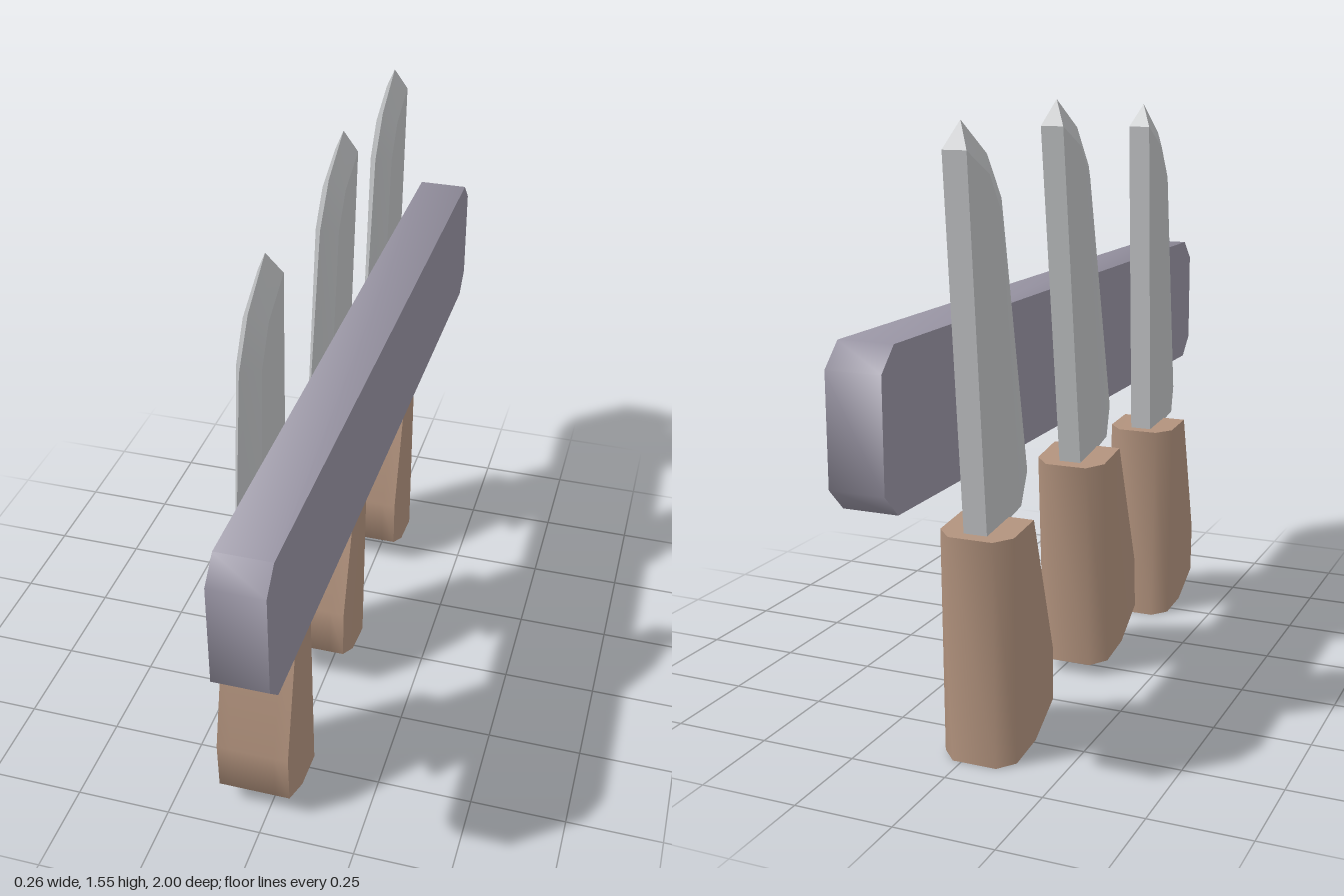
import * as THREE from 'three';
import { toCreasedNormals } from 'three/addons/utils/BufferGeometryUtils.js';

const paint = (name, color) => {
  const m = new THREE.MeshStandardMaterial({ color });
  m.name = name;
  return m;
};

// Joins [z, y] profiles placed at increasing x into a closed solid.
function loft(layers, crease) {
  const pos = [];
  const tri = (a, b, c) => {
    const t = new THREE.Triangle(...[a, b, c].map(p => new THREE.Vector3(...p)));
    if (t.getArea() > 1e-7) pos.push(...a, ...b, ...c);
  };
  const rings = layers.map(({ x, profile }) => profile.map(([z, y]) => [x, y, z]));
  const n = rings[0].length;
  for (let k = 0; k < rings.length - 1; k++) {
    const A = rings[k], B = rings[k + 1];
    for (let i = 0; i < n; i++) {
      const j = (i + 1) % n;
      tri(A[i], A[j], B[j]);
      tri(A[i], B[j], B[i]);
    }
  }
  // End caps
  const cap = (ring, flip) => {
    const contour = ring.map(([, y, z]) => new THREE.Vector2(-z, y));
    for (const [a, b, c] of THREE.ShapeUtils.triangulateShape(contour, [])) {
      if (flip) tri(ring[a], ring[c], ring[b]);
      else tri(ring[a], ring[b], ring[c]);
    }
  };
  cap(rings[0], true);
  cap(rings[rings.length - 1], false);
  const g = new THREE.BufferGeometry();
  g.setAttribute('position', new THREE.Float32BufferAttribute(pos, 3));
  return toCreasedNormals(g, crease);
}

// Wall bar with cut corners
function rackGeometry() {
  const c = 0.055, lo = 0.7, hi = 1.07;
  const profile = [
    [-1 + c, lo], [-1, lo + c], [-1, hi - c], [-1 + c, hi],
    [1 - c, hi], [1, hi - c], [1, lo + c], [1 - c, lo],
  ];
  return loft([{ x: -0.005, profile }, { x: 0.13, profile }], 0.9);
}

// Grip: square towards the cutting edge, chamfered along the back
function handleGeometry() {
  const belly = [[0.167, 0.573], [0.262, 0.208], [0.257, 0.07], [0.147, 0.01]];
  const full = [[0, 0], [0.017, 0.563], ...belly];
  const cut = [[0.037, 0.003], [0.054, 0.566], ...belly];
  return loft([
    { x: -0.095, profile: cut }, { x: -0.057, profile: full },
    { x: 0.057, profile: full }, { x: 0.095, profile: cut },
  ], 1.12);
}

// Blade: flat spine, sides bevelled to a sharp edge on the centre plane
function bladeGeometry() {
  const edge = [
    [0.047, 0.55], [0.007, 1.453], [0.042, 1.515], [0.167, 1.43],
    [0.237, 1.322], [0.342, 0.632], [0.237, 0.577],
  ];
  const side = [
    [0.047, 0.55], [0.007, 1.453], [0.007, 1.453], [0.117, 1.39],
    [0.172, 1.3], [0.237, 0.577], [0.237, 0.577],
  ];
  return loft([
    { x: -0.03, profile: side }, { x: 0, profile: edge }, { x: 0.03, profile: side },
  ], 0.36);
}

export function createModel() {
  const model = new THREE.Group();
  model.name = 'knifeRack';
  const rackGrey = paint('rackGrey', 0x9591a0);
  const steel = paint('steel', 0xbdbfc1);
  const wood = paint('wood', 0xb0917c);

  const add = (parent, name, geometry, material) => {
    const mesh = new THREE.Mesh(geometry, material);
    mesh.name = name;
    parent.add(mesh);
  };

  add(model, 'rack', rackGeometry(), rackGrey);

  // Three knives hanging at slightly different tilts
  const handle = handleGeometry(), blade = bladeGeometry();
  const hangs = [
    { name: 'frontKnife', y: 0.003, z: 0.423, tilt: 0 },
    { name: 'middleKnife', y: 0.035, z: -0.075, tilt: -0.084 },
    { name: 'backKnife', y: 0.003, z: -0.665, tilt: -0.041 },
  ];
  for (const { name, y, z, tilt } of hangs) {
    const knife = new THREE.Group();
    knife.name = name;
    knife.position.set(-0.035, y, z);
    knife.rotation.x = tilt;
    add(knife, 'handle', handle, wood);
    add(knife, 'blade', blade, steel);
    model.add(knife);
  }
  return model;
}
